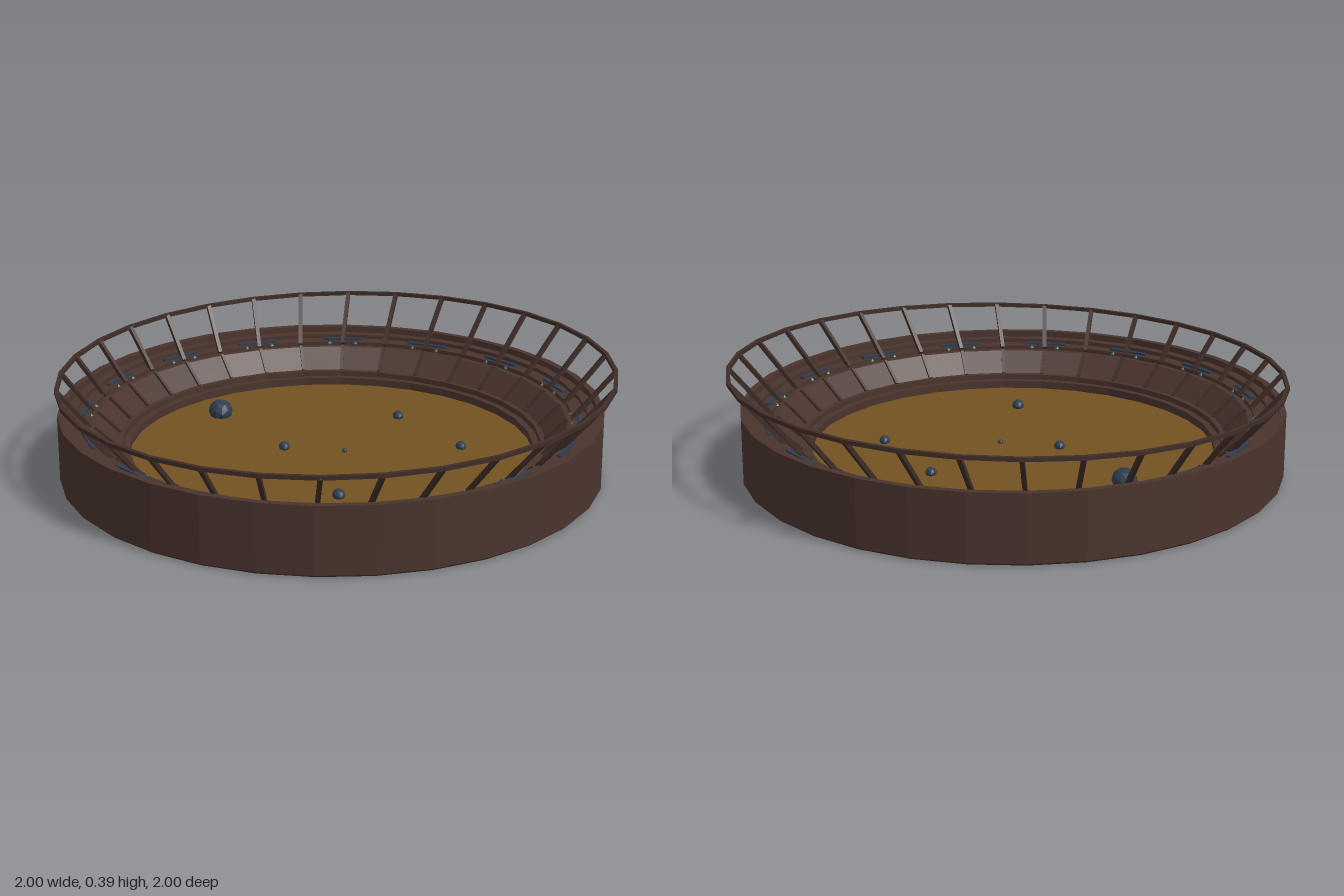
import * as THREE from 'three';

const SIDES = 32;
const CX = -0.017, CZ = 0.011; // centre of the bowl

function material(name, color) {
  const m = new THREE.MeshStandardMaterial({ color, flatShading: true });
  m.name = name;
  return m;
}

export function createModel() {
  const root = new THREE.Group();
  root.name = 'arena';
  const brown = material('brown', 0x4a342d);
  const railBrown = material('railBrown', 0x3f2d27);
  const sand = material('sand', 0x735222);
  const slate = material('slate', 0x2f3d4e);
  const teal = material('teal', 0x3f7f7c);

  const add = (geometry, mat, name, x = 0, y = 0, z = 0, parent = root) => {
    const mesh = new THREE.Mesh(geometry, mat);
    mesh.name = name;
    mesh.position.set(x, y, z);
    parent.add(mesh);
    return mesh;
  };
  const onRing = (a, r, y) => new THREE.Vector3(CX + Math.sin(a) * r, y, CZ + Math.cos(a) * r);

  // Square beam between two points
  const beam = (a, b, width, name, parent) => {
    const mesh = add(new THREE.BoxGeometry(width, width, a.distanceTo(b)), railBrown, name, 0, 0, 0, parent);
    mesh.position.copy(a).lerp(b, 0.5);
    mesh.lookAt(b);
  };

  // Outer wall, underside, tiers and inner steps
  const profile = [
    [0, 0], [0.965, 0], [0.974, 0.008], [0.974, 0.245], [0.95, 0.245], [0.95, 0.222],
    [0.915, 0.222], [0.915, 0.207], [0.865, 0.207], [0.865, 0.192], [0.845, 0.192],
    [0.77, 0.12], [0.75, 0.12], [0.75, 0.1], [0.725, 0.1], [0.725, 0.06],
  ].map(([r, y]) => new THREE.Vector2(r, y));
  add(new THREE.LatheGeometry(profile, SIDES), brown, 'tieredWall', CX, 0, CZ);

  // Arena floor
  const floor = new THREE.CircleGeometry(0.728, SIDES).rotateX(-Math.PI / 2);
  add(floor, sand, 'arenaFloor', CX, 0.072, 0.006);

  // Dividing ribs on the sloped tier, leaning posts and the tilted top rail
  const ribs = new THREE.Group(), posts = new THREE.Group(), rail = new THREE.Group();
  ribs.name = 'tierRibs';
  posts.name = 'railPosts';
  rail.name = 'topRail';
  root.add(ribs, posts, rail);
  const railPoint = (a) => {
    const x = Math.sin(a) * 0.992, z = Math.cos(a) * 0.992;
    return new THREE.Vector3(x, 0.356 + 0.02 * x - 0.014 * z, z);
  };
  for (let i = 0; i < SIDES; i++) {
    const a = (i / SIDES) * Math.PI * 2, next = ((i + 1) / SIDES) * Math.PI * 2;
    beam(onRing(a, 0.765, 0.12), onRing(a, 0.845, 0.195), 0.012, 'tierRib', ribs);
    beam(onRing(a, 0.86, 0.2), railPoint(a), 0.015, 'railPost', posts);
    beam(railPoint(a), railPoint(next), 0.014, 'railBar', rail);
  }

  // Benches and small lamps around the upper tier
  const benches = new THREE.Group(), lamps = new THREE.Group();
  benches.name = 'benches';
  lamps.name = 'lamps';
  root.add(benches, lamps);
  for (let i = 0; i < 16; i++) {
    const a = (i / 16) * Math.PI * 2;
    const p = onRing(a, 0.885, 0.211);
    const bench = add(new THREE.BoxGeometry(0.16, 0.009, 0.016), slate, 'bench', p.x, p.y, p.z, benches);
    bench.rotation.y = a;
    for (const s of [-1, 1]) {
      const q = onRing(a + s * 0.06, 0.862, 0.2);
      add(new THREE.OctahedronGeometry(0.009), teal, 'lamp', q.x, q.y, q.z, lamps);
    }
  }

  // Boulders on the floor: x, z, size
  const boulders = new THREE.Group();
  boulders.name = 'boulders';
  root.add(boulders);
  for (const [x, z, s] of [
    [-0.455, -0.335, 0.052], [0.217, -0.335, 0.023], [0.45, -0.018, 0.022],
    [-0.187, 0.018, 0.023], [0.032, 0.04, 0.011], [0.032, 0.476, 0.026],
  ]) {
    const rock = add(new THREE.IcosahedronGeometry(s, 1), slate, 'boulder', x, 0.072 + s * 0.3, z, boulders);
    rock.scale.set(0.87, 0.8, 1.12);
    rock.rotation.y = 0.2;
  }
  return root;
}
